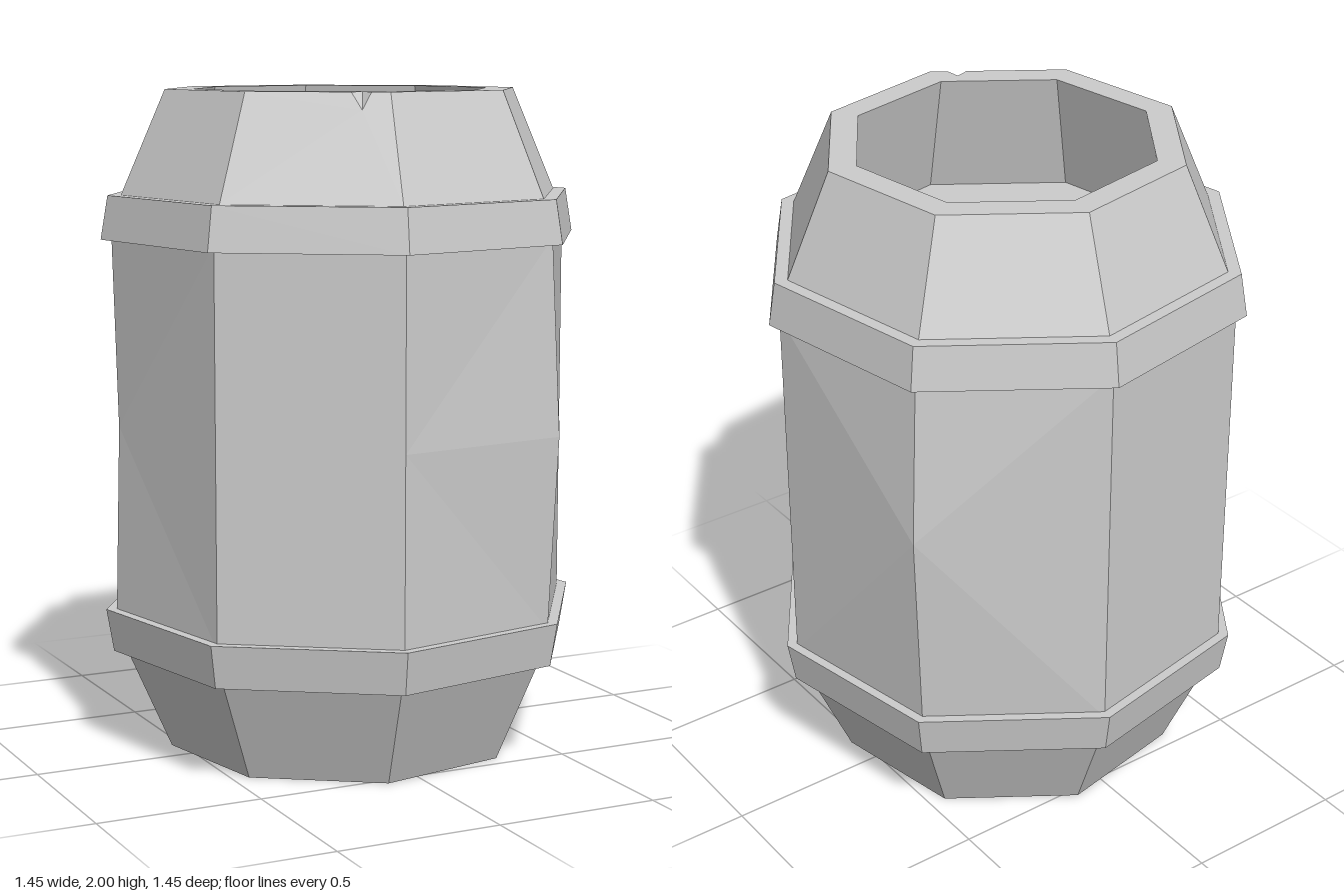
import * as THREE from 'three';

const SIDES = 8;
const STEP = (Math.PI * 2) / SIDES;
const START = THREE.MathUtils.degToRad(11.3);

// Point on an octagon of radius r; fractional k lies along the straight side
function pt(k, r, y) {
  const i = Math.floor(k), t = k - i;
  const corner = (n) => new THREE.Vector3(Math.cos(START + n * STEP) * r, y, Math.sin(START + n * STEP) * r);
  return corner(i).lerp(corner(i + 1), t);
}

// Each polygon is a triangle fan from its first point
function fans(polygons) {
  const points = [];
  for (const p of polygons)
    for (let i = 1; i < p.length - 1; i++) points.push(p[0], p[i], p[i + 1]);
  const geometry = new THREE.BufferGeometry().setFromPoints(points);
  geometry.computeVertexNormals();
  return geometry;
}

function lathe(profile) {
  return new THREE.LatheGeometry(profile.map(([r, y]) => new THREE.Vector2(r, y)), SIDES, Math.PI / 2 - START);
}

export function createModel() {
  const group = new THREE.Group();
  const material = new THREE.MeshStandardMaterial({ color: 0xcccccc, flatShading: true, side: THREE.DoubleSide });
  const add = (name, geometry) => {
    const mesh = new THREE.Mesh(geometry, material);
    mesh.name = name;
    group.add(mesh);
  };

  // Tapered base with a shallow recess underneath
  add('base', lathe([[0, 0.015], [0.455, 0.015], [0.455, 0], [0.54, 0], [0.675, 0.31], [0.69, 0.35]]));

  // Staves, dented or bulged at mid height
  const midRadius = [0.705, 0.735, 0.705, 0.705, 0.69, 0.705, 0.705, 0.745];
  const foldAtNext = [false, true, false, true, false, false, true, false];
  const low = (k) => pt(k, 0.705, 0.42);
  const high = (k) => pt(k, 0.705, 1.58);
  const mid = (k) => pt(k, midRadius[k % SIDES], k % SIDES === 7 ? 1.07 : 1);
  const staves = [];
  for (let k = 0; k < SIDES; k++) {
    const n = k + 1;
    staves.push(foldAtNext[k]
      ? [mid(n), low(n), low(k), mid(k), high(k), high(n)]
      : [mid(k), high(k), high(n), mid(n), low(n), low(k)]);
  }
  add('staves', fans(staves));

  // Hoops
  add('lowerHoop', lathe([[0.66, 0.31], [0.715, 0.31], [0.737, 0.44], [0.68, 0.44]]));
  add('upperHoop', lathe([[0.68, 1.56], [0.737, 1.56], [0.715, 1.69], [0.66, 1.69]]));

  // Tapered shoulder and flat rim, with a chip in one side
  const shoulder = [], rim = [];
  for (let k = 0; k < SIDES; k++) {
    const n = k + 1;
    const bottom = (i) => pt(i, 0.675, 1.69), top = (i) => pt(i, 0.54, 2), inner = (i) => pt(i, 0.455, 2);
    if (k === 2) {
      const a = top(k + 0.27), b = top(k + 0.13), c = pt(k + 0.18, 0.502, 2), d = pt(k + 0.2, 0.562, 1.95);
      shoulder.push([d, a, top(n), bottom(n), bottom(k), top(k), b]);
      rim.push([c, b, top(k), inner(k), inner(n), top(n), a]);
      add('rimChip', fans([[c, a, d], [c, d, b]]));
    } else {
      shoulder.push([bottom(n), bottom(k), top(k), top(n)]);
      rim.push([top(n), top(k), inner(k), inner(n)]);
    }
  }
  add('shoulder', fans(shoulder));
  add('rim', fans(rim));

  // Inside wall and floor of the opening
  add('inside', lathe([[0.455, 2], [0.55, 1.62], [0, 1.62]]));

  return group;
}
